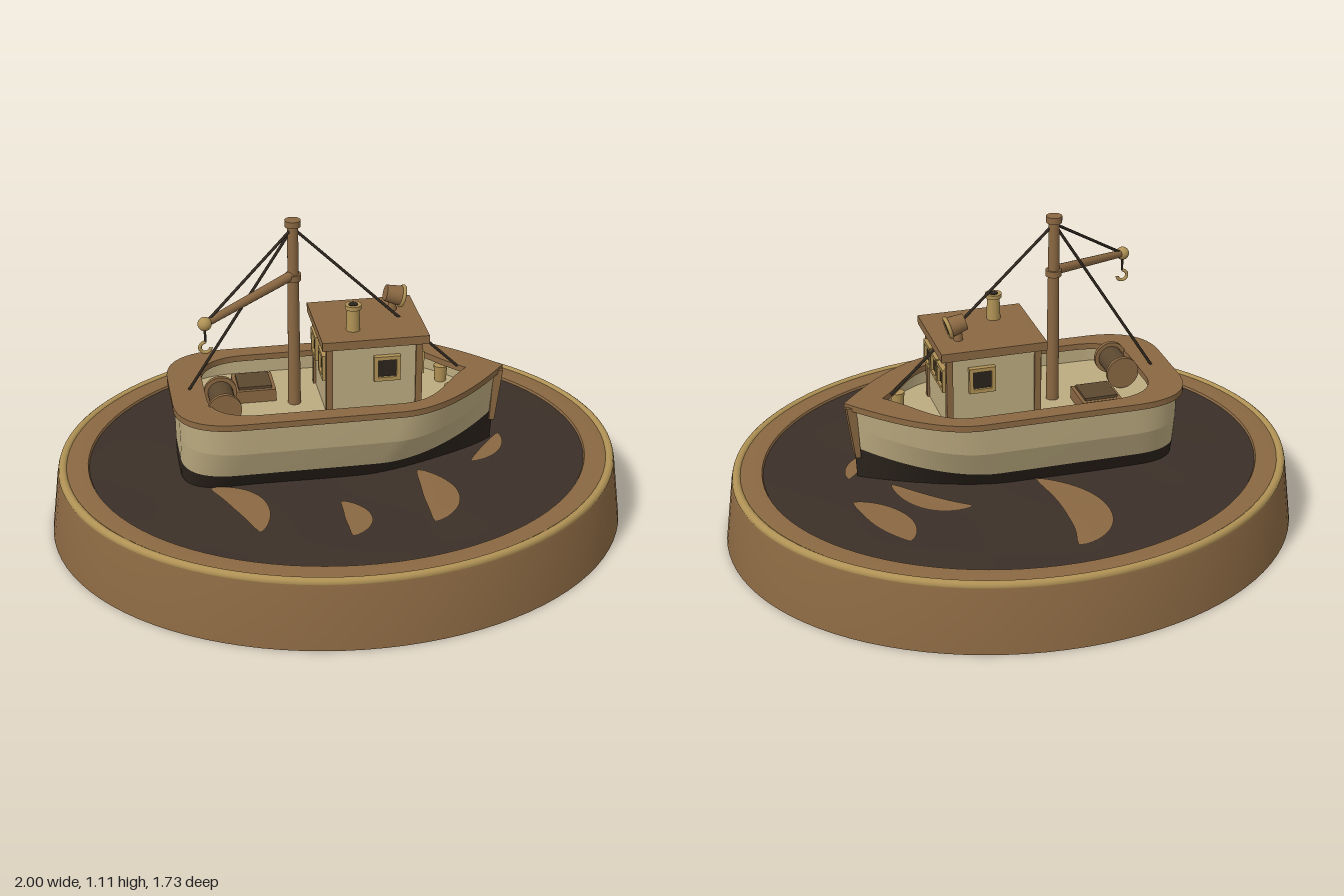
import * as THREE from 'three';
import { toCreasedNormals } from 'three/addons/utils/BufferGeometryUtils.js';

const mat = (color, side = THREE.FrontSide) => new THREE.MeshStandardMaterial({ color, side });
const BROWN = mat(0x8a6842), TAN = mat(0xb09255), CREAM = mat(0xbcab80, THREE.DoubleSide);
const WATER = mat(0x3b3028), DARK = mat(0x2b231c), ROPE = mat(0x30281f), TIMBER = mat(0x5c4830);
const FOAM = mat(0x8a6842, THREE.DoubleSide);
const OVAL = 0.866;

function add(parent, name, geo, material, x = 0, y = 0, z = 0) {
  const m = new THREE.Mesh(geo, material);
  m.name = name;
  m.position.set(x, y, z);
  parent.add(m);
  return m;
}
const box = (w, h, d) => new THREE.BoxGeometry(w, h, d);
const cyl = (r1, r2, h, n = 24) => new THREE.CylinderGeometry(r1, r2, h, n);

// Rod between two points
function rod(parent, name, a, b, r1, r2, material) {
  const p = new THREE.Vector3(...a), q = new THREE.Vector3(...b);
  const d = q.clone().sub(p);
  const m = add(parent, name, cyl(r2, r1, d.length(), 12), material);
  m.position.copy(p).add(q).multiplyScalar(0.5);
  m.quaternion.setFromUnitVectors(new THREE.Vector3(0, 1, 0), d.normalize());
  return m;
}

// Boat outline: pointed bow at +x, rounded stern at -x
function plan(stern, bow, w, shoulder = 0.17, S = THREE.Shape) {
  const c = stern + w * 0.75, s = new S();
  s.moveTo(bow, 0);
  s.bezierCurveTo(bow - 0.11, w * 0.46, shoulder + 0.15, w, shoulder, w);
  s.lineTo(c, w);
  s.bezierCurveTo(stern + w * 0.26, w, stern, w * 0.77, stern, w * 0.35);
  s.lineTo(stern, -w * 0.35);
  s.bezierCurveTo(stern, -w * 0.77, stern + w * 0.26, -w, c, -w);
  s.lineTo(shoulder, -w);
  s.bezierCurveTo(shoulder + 0.15, -w, bow - 0.11, -w * 0.46, bow, 0);
  return s;
}

// One hull level: outline at height y, lifted towards the bow
const level = (y, rise, ...args) => plan(...args).getPoints(16).map((p) => {
  const t = THREE.MathUtils.clamp((p.x - 0.1) / 0.45, 0, 1);
  return [p.x, y + rise * t * t, -p.y];
});

// Skin between rings of points
function loft(rings) {
  const n = rings[0].length, idx = [];
  for (let i = 0; i < rings.length - 1; i++) {
    for (let j = 0; j < n - 1; j++) {
      const a = i * n + j, b = a + n;
      idx.push(a, a + 1, b + 1, a, b + 1, b);
    }
  }
  const g = new THREE.BufferGeometry();
  g.setAttribute('position', new THREE.Float32BufferAttribute(rings.flat(2), 3));
  g.setIndex(idx);
  return toCreasedNormals(g, 0.35);
}

// Gentle swell, calm at the rim
function swell(x, z) {
  const r2 = x * x + (z / OVAL) ** 2;
  const calm = Math.max(0, 1 - r2 / 0.74);
  return 0.232 + calm * (0.012 + 0.009 * Math.sin(7 * x + 3 * z) * Math.cos(8 * z - 2 * x));
}

// Leaf-shaped foam patch following a curved centre line and the swell
function foam(parent, a, mid, b, width) {
  const curve = new THREE.QuadraticBezierCurve(new THREE.Vector2(...a), new THREE.Vector2(...mid), new THREE.Vector2(...b));
  const g = new THREE.PlaneGeometry(1, 1, 24, 6), p = g.attributes.position;
  for (let i = 0; i < p.count; i++) {
    const t = p.getX(i) + 0.5, c = curve.getPoint(t), d = curve.getTangent(t);
    const s = p.getY(i) * width * Math.sin(Math.PI * t) ** 0.7;
    const x = c.x - d.y * s, z = c.y + d.x * s;
    p.setXYZ(i, x, swell(x, z) + 0.003, z);
  }
  g.computeVertexNormals();
  add(parent, 'foamPatch', g, FOAM);
}

function buildBase(root) {
  const g = new THREE.Group();
  g.name = 'base';
  root.add(g);
  const profile = [[0, 0], [1, 0], [0.972, 0.215], [0.965, 0.235], [0.94, 0.24], [0.866, 0.24], [0.858, 0.22]];
  const plinth = new THREE.LatheGeometry(profile.map((p) => new THREE.Vector2(...p)), 96);
  add(g, 'plinth', toCreasedNormals(plinth.scale(1, 1, OVAL), 0.4), BROWN);
  add(g, 'rimBead', new THREE.TorusGeometry(0.953, 0.016, 10, 96).rotateX(Math.PI / 2).scale(1, 1, OVAL), TAN, 0, 0.231, 0);
  const water = new THREE.RingGeometry(0.001, 0.862, 96, 28).rotateX(-Math.PI / 2).scale(1, 1, OVAL);
  const p = water.attributes.position;
  for (let i = 0; i < p.count; i++) p.setY(i, swell(p.getX(i), p.getZ(i)));
  water.computeVertexNormals();
  add(g, 'water', water, WATER);
  foam(g, [-0.04, -0.64], [-0.23, -0.5], [-0.03, -0.2], 0.15);
  foam(g, [0.47, -0.47], [0.47, -0.32], [0.6, -0.18], 0.12);
  foam(g, [-0.47, 0.2], [-0.31, 0.3], [-0.34, 0.5], 0.11);
  foam(g, [-0.05, 0.35], [0.03, 0.46], [-0.05, 0.57], 0.09);
  foam(g, [0.24, 0.2], [0.34, 0.38], [0.23, 0.53], 0.12);
  foam(g, [0.22, -0.31], [0.38, -0.28], [0.45, -0.1], 0.08);
  foam(g, [0.58, -0.02], [0.55, 0.09], [0.44, 0.16], 0.06);
}

function buildHull(boat) {
  const paint = level(0.302, 0.05, -0.555, 0.552, 0.232, 0.1);
  const chine = level(0.4, 0.03, -0.555, 0.56, 0.268, 0.15);
  add(boat, 'hullBottom', loft([level(0.22, 0, -0.555, 0.545, 0.185, 0.02), paint]), DARK);
  add(boat, 'hullSide', loft([paint, chine]), CREAM);
  add(boat, 'hullTopside', loft([chine, level(0.505, 0, -0.555, 0.57, 0.275)]), CREAM);
  add(boat, 'bulwarkInside', loft([level(0.505, 0, -0.52, 0.51, 0.25), level(0.44, 0, -0.52, 0.51, 0.25)]), CREAM);
  add(boat, 'deck', new THREE.ShapeGeometry(plan(-0.525, 0.52, 0.255), 16).rotateX(-Math.PI / 2), CREAM, 0, 0.44, 0);
  const rail = plan(-0.576, 0.582, 0.285);
  rail.holes.push(plan(-0.46, 0.45, 0.225, 0.17, THREE.Path));
  const railGeo = new THREE.ExtrudeGeometry(rail, { depth: 0.022, bevelEnabled: false, curveSegments: 16 });
  add(boat, 'capRail', toCreasedNormals(railGeo.rotateX(-Math.PI / 2), 0.5), BROWN, 0, 0.499, 0);
  // Raked stem post
  const stem = new THREE.Shape([[0.535, 0.32], [0.553, 0.32], [0.578, 0.51], [0.545, 0.51]].map((p) => new THREE.Vector2(...p)));
  add(boat, 'stemPost', new THREE.ExtrudeGeometry(stem, { depth: 0.05, bevelEnabled: false }), BROWN, 0, 0, -0.025);
}

// Framed window facing +z, turned about y
function windowAt(parent, x, z, turn, size = 0.09) {
  const w = new THREE.Group();
  w.name = 'window';
  w.position.set(x, 0.62, z);
  w.rotation.y = turn;
  const t = size * 0.15, off = (size - t) / 2;
  for (const s of [-1, 1]) {
    add(w, 'frameRail', box(size, t, 0.024), TAN, 0, s * off, 0.006);
    add(w, 'frameStile', box(t, size, 0.024), TAN, s * off, 0, 0.006);
  }
  add(w, 'pane', box(size - t, size - t, 0.012), DARK, 0, 0, 0.003);
  parent.add(w);
}

function buildCabin(boat) {
  const c = new THREE.Group();
  c.name = 'cabin';
  boat.add(c);
  add(c, 'walls', box(0.31, 0.27, 0.28), CREAM, 0.1, 0.575, 0);
  add(c, 'roof', box(0.362, 0.03, 0.33), BROWN, 0.102, 0.72, 0);
  for (const x of [-0.052, 0.252]) for (const z of [-0.137, 0.137]) {
    add(c, 'cornerPost', box(0.022, 0.265, 0.022), BROWN, x, 0.573, z);
  }
  for (const z of [-0.09, 0, 0.09]) windowAt(c, 0.255, z, Math.PI / 2, 0.082);
  for (const z of [-0.075, 0.075]) windowAt(c, -0.055, z, -Math.PI / 2);
  windowAt(c, 0.142, 0.14, 0);
  windowAt(c, 0.142, -0.14, Math.PI);
  // Exhaust stack
  add(c, 'stack', cyl(0.021, 0.024, 0.085), TAN, 0.04, 0.775, 0.073);
  add(c, 'stackCap', cyl(0.028, 0.028, 0.014), TAN, 0.04, 0.82, 0.073);
  add(c, 'stackOpening', cyl(0.016, 0.016, 0.004), DARK, 0.04, 0.827, 0.073);
  // Searchlight, tipped slightly down
  add(c, 'lampStand', cyl(0.012, 0.016, 0.05), BROWN, 0.2, 0.755, -0.063);
  const lamp = new THREE.Group();
  lamp.name = 'searchlight';
  lamp.position.set(0.205, 0.79, -0.063);
  lamp.rotation.z = -Math.PI / 2 - 0.28;
  c.add(lamp);
  add(lamp, 'lampBody', cyl(0.035, 0.028, 0.06), BROWN);
  add(lamp, 'lampRing', new THREE.TorusGeometry(0.033, 0.007, 8, 28).rotateX(Math.PI / 2), TAN, 0, 0.03, 0);
  add(lamp, 'lampLens', cyl(0.03, 0.03, 0.006), DARK, 0, 0.031, 0);
}

function buildRig(boat) {
  const r = new THREE.Group();
  r.name = 'rig';
  boat.add(r);
  const top = [-0.15, 1.085, 0], tip = [-0.47, 0.86, 0.21];
  add(r, 'mast', cyl(0.018, 0.022, 0.66), BROWN, -0.15, 0.77, 0);
  add(r, 'mastCap', cyl(0.027, 0.027, 0.022), BROWN, -0.15, 1.102, 0);
  add(r, 'boomCollar', cyl(0.027, 0.027, 0.022), BROWN, -0.15, 0.91, 0);
  rod(r, 'boom', [-0.15, 0.918, 0], tip, 0.017, 0.013, BROWN);
  add(r, 'boomTip', new THREE.SphereGeometry(0.023, 20, 14), TAN, ...tip);
  rod(r, 'hookLine', tip, [-0.47, 0.795, 0.21], 0.004, 0.004, ROPE);
  const hook = add(r, 'hook', new THREE.TorusGeometry(0.018, 0.006, 8, 20, Math.PI * 1.5), TAN, -0.47, 0.777, 0.21);
  hook.rotation.z = Math.PI * 0.5;
  for (const end of [tip, [-0.51, 0.52, 0], [0.42, 0.53, 0]]) rod(r, 'stay', top, end, 0.005, 0.005, ROPE);
}

function buildDeckGear(boat) {
  const g = new THREE.Group();
  g.name = 'deckGear';
  boat.add(g);
  add(g, 'hatchCoaming', box(0.14, 0.045, 0.135), BROWN, -0.28, 0.462, -0.088);
  add(g, 'hatchLid', box(0.115, 0.012, 0.11), TIMBER, -0.28, 0.488, -0.088);
  // Winch across the after deck
  add(g, 'winchDrum', cyl(0.043, 0.043, 0.14).rotateX(Math.PI / 2), TIMBER, -0.405, 0.502, 0.066);
  for (const z of [0, 0.132]) {
    add(g, 'winchFlange', cyl(0.057, 0.057, 0.014, 32).rotateX(Math.PI / 2), BROWN, -0.405, 0.502, z);
  }
  for (const s of [-1, 1]) add(g, 'bowBollard', cyl(0.024, 0.02, 0.06), TAN, 0.38, 0.468, s * 0.08);
}

export function createModel() {
  const root = new THREE.Group();
  root.name = 'boatOnBase';
  buildBase(root);
  const boat = new THREE.Group();
  boat.name = 'boat';
  root.add(boat);
  buildHull(boat);
  buildCabin(boat);
  buildRig(boat);
  buildDeckGear(boat);
  return root;
}
